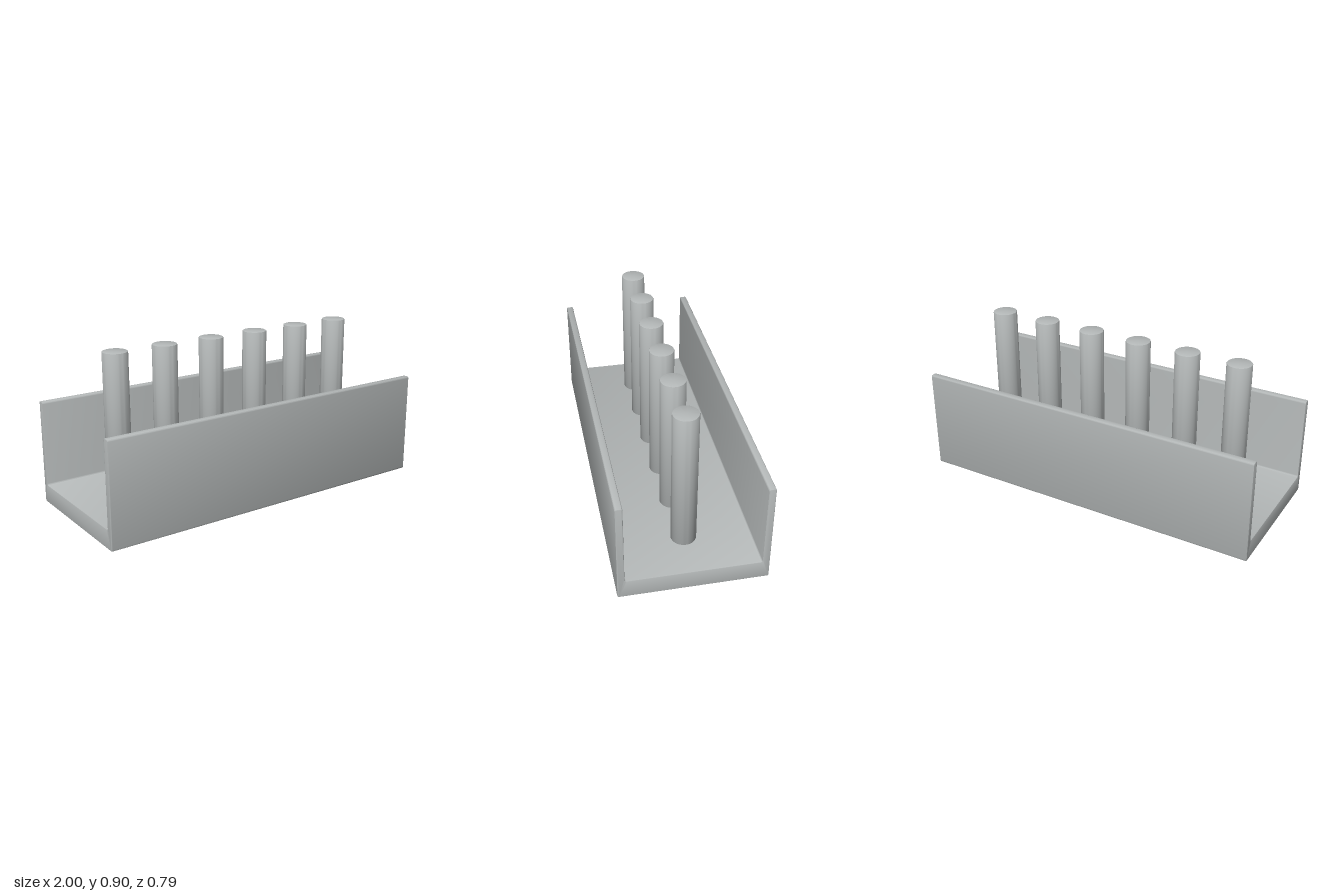
import * as THREE from 'three';
import { toCreasedNormals } from 'three/addons/utils/BufferGeometryUtils.js';

// Closed outline with every corner softened by radius r
function roundedOutline(points, r) {
  const shape = new THREE.Shape();
  const pts = points.map(([x, y]) => new THREE.Vector2(x, y));
  pts.forEach((p, i) => {
    const prev = pts[(i + pts.length - 1) % pts.length];
    const next = pts[(i + 1) % pts.length];
    const a = prev.clone().sub(p).setLength(r).add(p);
    const b = next.clone().sub(p).setLength(r).add(p);
    if (i === 0) shape.moveTo(a.x, a.y);
    else shape.lineTo(a.x, a.y);
    shape.quadraticCurveTo(p.x, p.y, b.x, b.y);
  });
  shape.closePath();
  return shape;
}

export function createModel() {
  const model = new THREE.Group();
  const grey = new THREE.MeshStandardMaterial({ color: 0xb4b8b8 });
  grey.name = 'light grey';

  // U-shaped tray: thick floor with two thin side walls, open at both ends
  const W = 0.394, inner = 0.355, floor = 0.104, top = 0.58, bevel = 0.004;
  const profile = roundedOutline([
    [-W, 0], [W, 0], [W, top], [inner, top],
    [inner, floor], [-inner, floor], [-inner, top], [-W, top],
  ], 0.01);
  const trayGeometry = new THREE.ExtrudeGeometry(profile, {
    depth: 2 - 2 * bevel, curveSegments: 4, bevelEnabled: true,
    bevelThickness: bevel, bevelSize: bevel, bevelOffset: -bevel, bevelSegments: 2,
  });
  trayGeometry.translate(0, 0, bevel - 1).rotateY(Math.PI / 2);
  const tray = new THREE.Mesh(toCreasedNormals(trayGeometry, 0.6), grey);
  tray.name = 'tray';
  model.add(tray);

  // Row of six round pegs with softened rims
  const R = 0.068, low = 0.103, high = 0.897, e = 0.005;
  const pegProfile = [
    [0, low], [R - e, low], [R - e * 0.3, low + e * 0.3], [R, low + e],
    [R, high - e], [R - e * 0.3, high - e * 0.3], [R - e, high], [0, high],
  ].map(([x, y]) => new THREE.Vector2(x, y));
  const pegGeometry = toCreasedNormals(new THREE.LatheGeometry(pegProfile, 48), 0.6);
  const pegs = new THREE.Group();
  pegs.name = 'pegs';
  for (let i = 0; i < 6; i++) {
    const peg = new THREE.Mesh(pegGeometry, grey);
    peg.name = `peg${i + 1}`;
    peg.position.x = (i - 2.5) * 0.295;
    pegs.add(peg);
  }
  model.add(pegs);

  return model;
}
